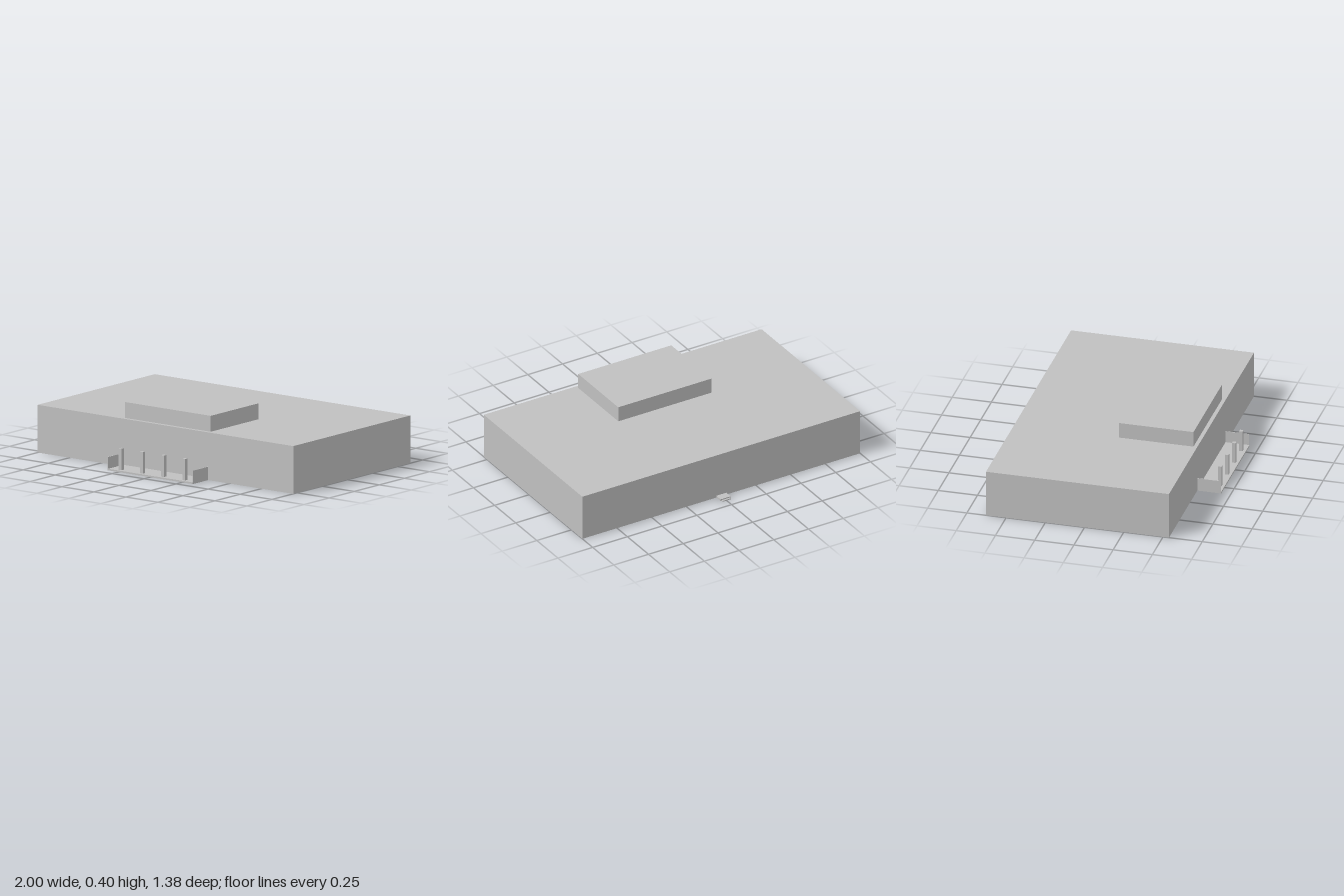
import * as THREE from 'three';

export function createModel() {
  const model = new THREE.Group();
  const grey = new THREE.MeshStandardMaterial({ color: 0xc0c0c0 });
  grey.name = 'plain grey';

  // Box given by its extents along each axis
  function block(name, [x0, x1], [y0, y1], [z0, z1]) {
    const mesh = new THREE.Mesh(new THREE.BoxGeometry(x1 - x0, y1 - y0, z1 - z0), grey);
    mesh.position.set((x0 + x1) / 2, (y0 + y1) / 2, (z0 + z1) / 2);
    mesh.name = name;
    model.add(mesh);
  }

  // Main hall and raised roof block
  block('mainBuilding', [-1, 1], [0, 0.3], [-0.628, 0.538]);
  block('roofBlock', [-0.335, 0.335], [0.3, 0.4], [0.04, 0.514]);

  // Front porch: floor slab, thin side walls and four posts
  block('porchFloor', [-0.332, 0.332], [0, 0.01], [0.538, 0.69]);
  for (const side of [-1, 1]) {
    const x = side * 0.332;
    block(side > 0 ? 'porchWallLeft' : 'porchWallRight', [x - 0.002, x + 0.002], [0, 0.084], [0.538, 0.688]);
  }
  for (let i = 0; i < 4; i++) {
    const x = -0.249 + i * 0.166;
    block('porchPost', [x - 0.011, x + 0.011], [0.01, 0.145], [0.649, 0.672]);
  }

  // Two small steps at the back door
  block('backStepUpper', [-0.036, 0.036], [0, 0.013], [-0.68, -0.628]);
  block('backStepLower', [-0.03, 0.03], [0, 0.006], [-0.692, -0.68]);

  return model;
}
